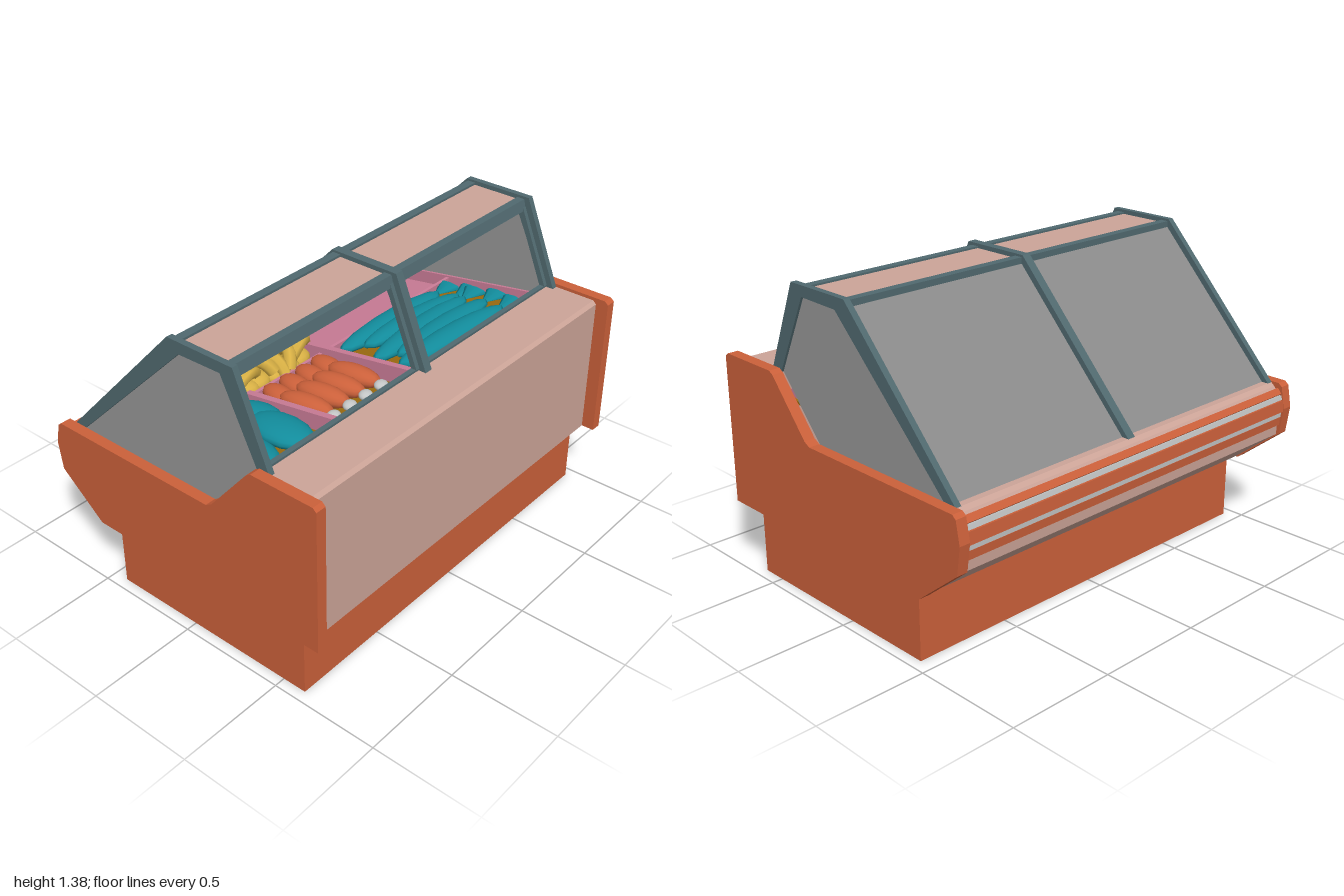
import * as THREE from 'three';

const mat = (name, color) => {
  const m = new THREE.MeshStandardMaterial({ color, side: THREE.DoubleSide });
  m.name = name;
  return m;
};

export function createModel() {
  const orange = mat('orange panel', 0xcb603a);
  const pink = mat('pale pink panel', 0xcca498);
  const steel = mat('blue grey frame', 0x50696f);
  const grey = mat('grey side glass', 0x969696);
  const darkGrey = mat('grey sloped glass', 0x8a8a8a);
  const silver = mat('silver trim', 0xc4c6c6);
  const rose = mat('rose tray', 0xcc7d98);
  const gold = mat('brown gold tray floor', 0x9c6b10);
  const teal = mat('teal fish', 0x128c9c);
  const yellow = mat('yellow food', 0xd8b044);

  const root = new THREE.Group();
  root.name = 'displayCounter';

  const add = (name, geo, material, parent = root) => {
    const m = new THREE.Mesh(geo, material);
    m.name = name;
    parent.add(m);
    return m;
  };
  // Box given by its limits
  const box = (name, x0, x1, y0, y1, z0, z1, material) => {
    const m = add(name, new THREE.BoxGeometry(x1 - x0, y1 - y0, z1 - z0), material);
    m.position.set((x0 + x1) / 2, (y0 + y1) / 2, (z0 + z1) / 2);
    return m;
  };
  // Side profile of [z, y] points, extruded from x0 to x1
  const profile = (name, pts, x0, x1, material) => {
    const shape = new THREE.Shape(pts.map(([z, y]) => new THREE.Vector2(z, y)));
    const geo = new THREE.ExtrudeGeometry(shape, { depth: x1 - x0, bevelEnabled: false });
    geo.rotateY(-Math.PI / 2).translate(x1, 0, 0);
    return add(name, geo, material);
  };
  // Slab between two side-view points, thickened evenly
  const slab = (name, [z0, y0], [z1, y1], t, x0, x1, material) => {
    const l = Math.hypot(z1 - z0, y1 - y0);
    const nz = (-(y1 - y0) / l) * t / 2, ny = ((z1 - z0) / l) * t / 2;
    return profile(name, [[z0 + nz, y0 + ny], [z1 + nz, y1 + ny], [z1 - nz, y1 - ny], [z0 - nz, y0 - ny]], x0, x1, material);
  };

  // Plinth, open underneath
  box('plinthFront', -0.95, 0.95, 0, 0.315, 0.602, 0.612, orange);
  box('plinthBack', -0.95, 0.95, 0, 0.315, -0.43, -0.42, orange);
  for (const s of [-1, 1]) box('plinthSide', s * 0.945 - 0.005, s * 0.945 + 0.005, 0, 0.315, -0.42, 0.602, orange);

  // Hollow body: serving-side shell and customer-side shell
  profile('servingShell', [[0.61, 0.315], [0.67, 0.315], [0.67, 0.965], [0.655, 0.98], [0.42, 0.98], [0.42, 0.82],
    [0.43, 0.82], [0.43, 0.97], [0.65, 0.97], [0.66, 0.96], [0.66, 0.325], [0.61, 0.325]], -0.95, 0.95, pink);
  profile('customerShell', [[-0.42, 0.315], [-0.48, 0.315], [-0.695, 0.49], [-0.7, 0.62], [-0.69, 0.685], [-0.668, 0.715],
    [-0.65, 0.73], [-0.61, 0.73], [-0.58, 0.7], [-0.59, 0.69], [-0.615, 0.72], [-0.645, 0.72], [-0.68, 0.68],
    [-0.69, 0.62], [-0.685, 0.495], [-0.476, 0.325], [-0.42, 0.325]], -0.95, 0.95, pink);

  // Shaped end panels
  const end = [[0.73, 0.315], [0.73, 0.98], [0.713, 0.995], [0.412, 0.995], [0.39, 0.982], [0.195, 0.752], [0.165, 0.735],
    [-0.69, 0.735], [-0.708, 0.72], [-0.727, 0.62], [-0.71, 0.495], [-0.49, 0.315]];
  profile('leftEndPanel', end, 0.95, 1, orange);
  profile('rightEndPanel', end, -1, -0.95, orange);

  // Bumper strips along the sloped glass side
  slab('bumperTop', [-0.68, 0.706], [-0.7, 0.682], 0.02, -0.95, 0.95, orange);
  slab('bumperTrimUpper', [-0.702, 0.68], [-0.706, 0.66], 0.016, -0.95, 0.95, silver);
  slab('bumperMiddle', [-0.706, 0.658], [-0.71, 0.605], 0.026, -0.95, 0.95, orange);
  slab('bumperTrimLower', [-0.706, 0.603], [-0.705, 0.58], 0.016, -0.95, 0.95, silver);
  slab('bumperBottom', [-0.703, 0.578], [-0.7, 0.54], 0.016, -0.95, 0.95, orange);

  // Glasshouse frames: two ends and the middle
  const hoop = [[0.46, 0.98], [0.295, 1.378], [-0.04, 1.378], [-0.652, 0.73], [-0.592, 0.73], [0.018, 1.325], [0.23, 1.33], [0.4, 0.98]];
  for (const [name, a, b] of [['leftFrame', 0.922, 0.95], ['middleFrame', -0.02, 0.02], ['rightFrame', -0.95, -0.922]])
    profile(name, hoop, a, b, steel);

  // Rails across the frames and edging of the serving openings
  for (const [x0, x1] of [[-0.922, -0.02], [0.02, 0.922]]) {
    profile('frontTopRail', [[0.272, 1.366], [0.235, 1.366], [0.235, 1.335], [0.25, 1.318], [0.285, 1.318]], x0, x1, steel);
    box('rearTopRail', x0, x1, 1.32, 1.368, -0.035, 0.004, steel);
    box('roofPanel', x0, x1, 1.345, 1.358, 0, 0.24, pink);
    slab('slopedGlass', [-0.025, 1.345], [-0.628, 0.715], 0.008, x0, x1, darkGrey);
    box('sillRail', x0, x1, 0.97, 0.99, 0.4, 0.424, steel);
    for (const [a, b] of [[x0, x0 + 0.02], [x1 - 0.02, x1]])
      slab('openingEdge', [0.415, 0.985], [0.27, 1.33], 0.025, a, b, steel);
  }
  for (const s of [-1, 1])
    profile('sideGlass', [[0.43, 0.98], [0.25, 1.345], [0.005, 1.345], [-0.615, 0.72], [0.17, 0.72], [0.4, 0.98]],
      s * 0.936 - 0.003, s * 0.936 + 0.003, grey);

  // Trays: sloping floor, rims and dividers
  const floorY = (z) => 0.81 + z * 0.16;
  const P = (z, h = 0) => [z, floorY(z) + h];
  slab('servingTrayFloor', P(0.42), P(-0.11), 0.012, -0.93, 0.93, gold);
  slab('rearTrayFloor', P(-0.11), P(-0.58), 0.012, -0.93, 0.93, rose);
  box('trayFrontRim', -0.92, 0.92, 0.85, 0.905, 0.345, 0.357, rose);
  box('trayFrontLedge', -0.92, 0.92, 0.895, 0.905, 0.345, 0.385, rose);
  box('trayFrontStep', -0.92, 0.92, 0.87, 0.885, 0.385, 0.42, rose);
  box('trayRearRim', -0.92, 0.92, 0.71, 0.765, -0.545, -0.533, rose);
  box('trayMiddleRim', -0.92, 0.92, 0.78, 0.85, -0.12, -0.105, rose);
  for (const s of [-1, 1]) slab('traySideRim', P(0.38, 0.03), P(-0.5, 0.03), 0.07, s * 0.913 - 0.006, s * 0.913 + 0.006, rose);
  slab('narrowDivider', P(0.38, 0.04), P(-0.11, 0.04), 0.08, -0.485, -0.455, rose);
  slab('middleDivider', P(0.38, 0.04), P(-0.48, 0.04), 0.09, -0.015, 0.015, rose);

  // Food: rounded bodies, with tails on the fish
  const lump = (name, x, z, h, sx, sy, sz, turn, material) => {
    const m = add(name, new THREE.SphereGeometry(1, 14, 10), material);
    m.scale.set(sx, sy, sz);
    m.position.set(x, floorY(z) + h, z);
    m.rotation.y = turn;
  };
  const fish = (x, z, h, length, turn) => {
    const g = new THREE.Group();
    g.name = 'fish';
    add('fishBody', new THREE.SphereGeometry(1, 14, 10).scale(length / 2, 0.04, 0.065), teal, g);
    const tail = add('fishTail', new THREE.ConeGeometry(0.06, 0.13, 8).scale(1, 1, 0.3), teal, g);
    tail.rotation.set(Math.PI / 2, 0, Math.PI / 2);
    tail.position.x = length / 2 + 0.02;
    g.position.set(x, floorY(z) + h, z);
    g.rotation.y = turn;
    root.add(g);
  };
  for (const x of [-0.79, -0.595]) {
    lump('wholeFish', x, 0.19, 0.04, 0.095, 0.045, 0.16, 0, teal);
    lump('wholeFish', x + 0.02, 0.01, 0.05, 0.09, 0.045, 0.13, 0.4, teal);
  }
  for (let i = 0; i < 5; i++) {
    fish(0.42 + (i % 2) * 0.05, 0.275 - i * 0.085, 0.04, 0.72 - (i % 2) * 0.06, (i % 3) * 0.05 - 0.05);
  }
  for (let i = 0; i < 4; i++) {
    const x = -0.39 + i * 0.1;
    lump('cutlet', x, 0.14, 0.045, 0.055, 0.045, 0.13, 0.15, orange);
    lump('cutlet', x, -0.01, 0.05, 0.052, 0.04, 0.09, -0.1, orange);
    lump('cutletTip', x, 0.285, 0.03, 0.034, 0.02, 0.03, 0.3, silver);
  }

  // Heap of curved yellow pieces
  for (let i = 0; i < 18; i++) {
    const x = -0.74 + (i % 9) * 0.083, z = -0.2 - Math.floor(i / 9) * 0.13;
    const curve = new THREE.QuadraticBezierCurve3(
      new THREE.Vector3(-0.075, 0, 0), new THREE.Vector3(0, 0.11, 0.04), new THREE.Vector3(0.085, 0.01, 0));
    const piece = add('curvedPiece', new THREE.TubeGeometry(curve, 8, 0.03, 7), yellow);
    piece.position.set(x, floorY(z) + 0.05 + (i % 3) * 0.012, z);
    piece.rotation.y = (i * 2.4) % Math.PI;
    lump('roundPiece', x, z, 0.04, 0.055, 0.04, 0.07, i, yellow);
  }
  return root;
}
